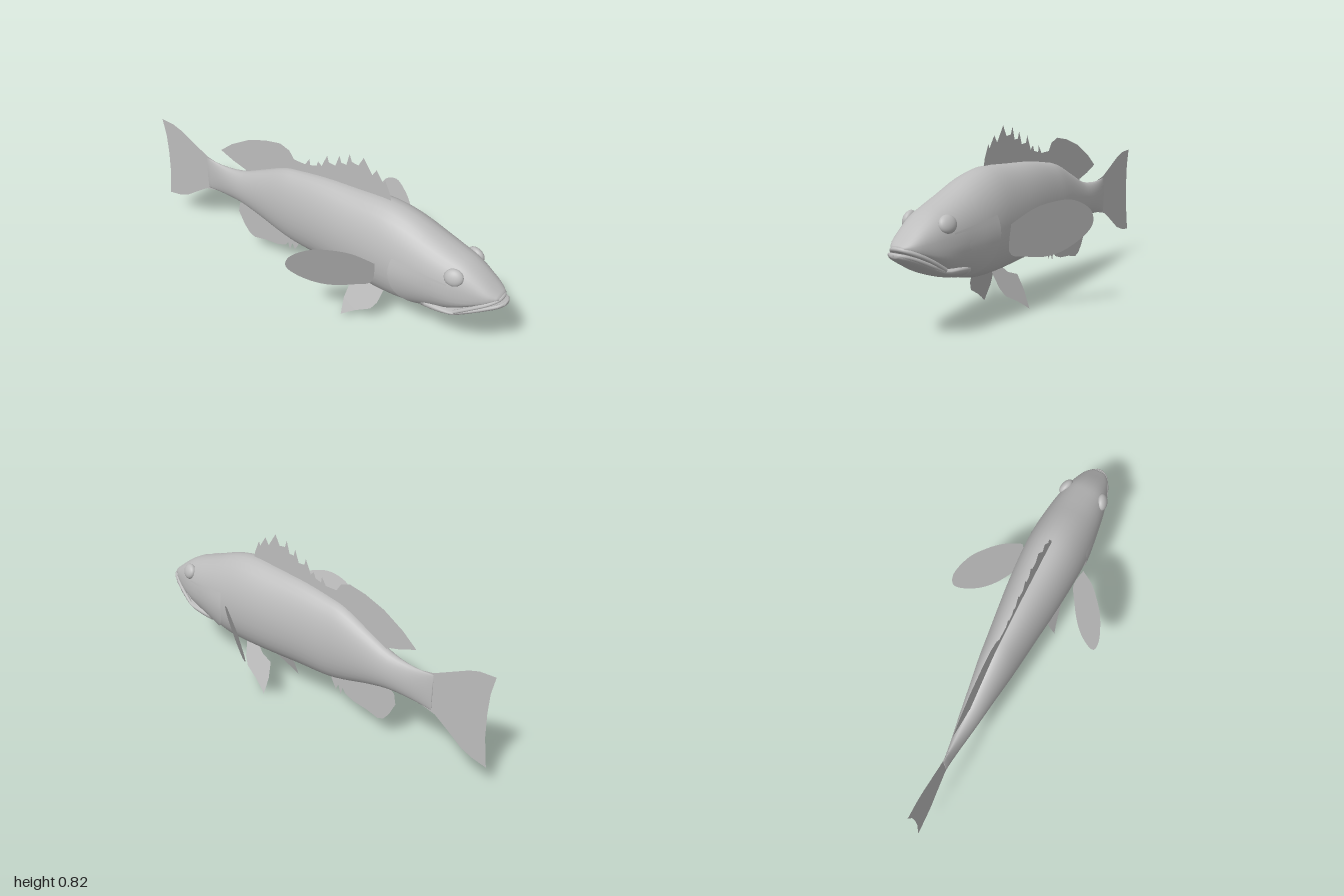
import * as THREE from 'three';

const skin = new THREE.MeshStandardMaterial({ color: 0xbdbdbd, side: THREE.DoubleSide });
skin.name = 'grey skin';
const RING = 32;

// Sections: [x, bottom, top, half width, height of widest line 0..1, lower roundness, upper roundness]
const bodyRows = [
  [-0.70, 0.285, 0.468, 0.006, 0.5, 1, 1],
  [-0.60, 0.292, 0.460, 0.024, 0.5, 1, 1],
  [-0.47, 0.292, 0.477, 0.046, 0.5, 1, 1],
  [-0.34, 0.264, 0.535, 0.064, 0.5, 1, 1],
  [-0.20, 0.224, 0.600, 0.084, 0.5, 1, 1],
  [-0.10, 0.207, 0.621, 0.096, 0.5, 1, 1],
  [0.05, 0.202, 0.642, 0.114, 0.5, 1, 1],
  [0.22, 0.196, 0.653, 0.133, 0.5, 0.95, 1],
  [0.40, 0.190, 0.662, 0.146, 0.49, 0.95, 1],
  [0.53, 0.198, 0.637, 0.147, 0.48, 0.95, 1],
  [0.65, 0.228, 0.591, 0.137, 0.48, 0.95, 0.95],
  [0.74, 0.258, 0.557, 0.125, 0.46, 0.9, 0.9],
  [0.81, 0.305, 0.530, 0.110, 0.4, 0.7, 0.85],
  [0.87, 0.345, 0.495, 0.092, 0.35, 0.6, 0.85],
  [0.93, 0.382, 0.450, 0.068, 0.35, 0.6, 0.85],
  [0.968, 0.405, 0.421, 0.036, 0.4, 0.8, 0.9],
];
const jawRows = [
  [0.64, 0.232, 0.300, 0.105, 0.6, 1, 0.8],
  [0.72, 0.243, 0.300, 0.112, 0.7, 1, 0.7],
  [0.80, 0.270, 0.302, 0.104, 0.7, 0.95, 0.6],
  [0.87, 0.306, 0.336, 0.086, 0.7, 0.9, 0.6],
  [0.93, 0.337, 0.370, 0.068, 0.7, 0.9, 0.6],
  [0.975, 0.362, 0.393, 0.045, 0.6, 0.9, 0.7],
  [0.995, 0.378, 0.396, 0.018, 0.5, 1, 1],
];

// Smooth interpolation of section rows
function refine(rows, steps = 3) {
  const out = [];
  for (let i = 0; i < rows.length - 1; i++) {
    const a = rows[Math.max(i - 1, 0)], b = rows[i], c = rows[i + 1];
    const d = rows[Math.min(i + 2, rows.length - 1)];
    for (let s = 0; s < steps; s++) {
      const t = s / steps;
      out.push(b.map((v, k) => v + 0.5 * t * (c[k] - a[k]
        + t * (2 * a[k] - 5 * v + 4 * c[k] - d[k] + t * (3 * (v - c[k]) + d[k] - a[k])))));
    }
  }
  out.push(rows[rows.length - 1]);
  return out;
}

function sectionPoint([x, lo, hi, w, f, pb, pt], a) {
  const s = Math.sin(a), c = Math.cos(a), p = s < 0 ? pb : pt;
  const mid = lo + (hi - lo) * f, r = s < 0 ? mid - lo : hi - mid;
  return [x, mid + r * Math.sign(s) * Math.abs(s) ** p, w * Math.sign(c) * Math.abs(c) ** p];
}

function makeGeometry(pos, idx) {
  const g = new THREE.BufferGeometry();
  g.setAttribute('position', new THREE.Float32BufferAttribute(pos, 3));
  g.setIndex(idx);
  g.computeVertexNormals();
  return g;
}

// Closed skin through elliptical sections
function loft(rows) {
  const pos = [], idx = [], n = rows.length;
  rows.forEach((row) => {
    for (let j = 0; j < RING; j++) pos.push(...sectionPoint(row, (j / RING) * Math.PI * 2));
  });
  for (let j = 0; j < RING; j++) {
    const k = (j + 1) % RING;
    for (let i = 0; i < n - 1; i++) {
      const a = i * RING + j, b = i * RING + k;
      idx.push(a, a + RING, b, b, a + RING, b + RING);
    }
    idx.push(n * RING, j, k, n * RING + 1, (n - 1) * RING + k, (n - 1) * RING + j);
  }
  for (const r of [rows[0], rows[n - 1]]) pos.push(r[0], (r[1] + r[2]) / 2, 0);
  return makeGeometry(pos, idx);
}

// Raised cheek plate lying over the body skin
function gillCover(rows, side) {
  const pos = [], idx = [], M = 14, N = 10;
  const at = (x) => {
    let i = 0;
    while (i < rows.length - 2 && rows[i + 1][0] < x) i++;
    const t = (x - rows[i][0]) / (rows[i + 1][0] - rows[i][0]);
    return rows[i].map((v, k) => v + (rows[i + 1][k] - v) * t);
  };
  for (let i = 0; i <= M; i++) {
    const a = 0.3 - 1.6 * (i / M);
    const back = 0.49 + 0.11 * a * a;
    for (let j = 0; j <= N; j++) {
      const t = j / N, p = sectionPoint(at(back + (0.76 - back) * t), a);
      const lift = (0.009 * (1 - t) - 0.003) * Math.min(1, i / 3);
      pos.push(p[0], p[1] + lift * Math.sin(a), side * (p[2] + lift * Math.cos(a)));
      if (i < M && j < N) {
        const q = i * (N + 1) + j, r = q + N + 1;
        idx.push(...(side > 0 ? [q, r, q + 1, q + 1, r, r + 1] : [q, q + 1, r, q + 1, r + 1, r]));
      }
    }
  }
  return makeGeometry(pos, idx);
}

// Thin fin sheet from an x,y outline, placed in z by a rule
function fin(points, zRule = () => 0, smooth = false) {
  const v = points.map(([x, y]) => new THREE.Vector2(x, y));
  let outline = v;
  if (smooth) outline = new THREE.SplineCurve([...v, v[0]]).getPoints(48).slice(0, -1);
  const g = new THREE.ShapeGeometry(new THREE.Shape(outline));
  const p = g.attributes.position;
  for (let i = 0; i < p.count; i++) p.setZ(i, zRule(p.getX(i), p.getY(i)));
  g.computeVertexNormals();
  return g;
}

// Lip running around the mouth; half the path is mirrored
function lip(half, radius) {
  const pts = [...half, ...half.slice(0, -1).reverse().map(([x, y, z]) => [x, y, -z])];
  const curve = new THREE.CatmullRomCurve3(pts.map((p) => new THREE.Vector3(...p)));
  return new THREE.TubeGeometry(curve, 40, radius, 8);
}

export function createModel() {
  const group = new THREE.Group();
  const add = (name, geometry) => {
    const m = new THREE.Mesh(geometry, skin);
    m.name = name;
    group.add(m);
    return m;
  };

  const body = refine(bodyRows);
  add('body', loft(body));
  add('lowerJaw', loft(refine(jawRows)));
  add('upperLip', lip([[0.80, 0.303, 0.1], [0.87, 0.35, 0.087], [0.93, 0.386, 0.064], [0.963, 0.404, 0.032], [0.97, 0.408, 0]], 0.009));
  add('lowerLip', lip([[0.80, 0.296, 0.097], [0.87, 0.332, 0.083], [0.93, 0.364, 0.064], [0.976, 0.385, 0.036], [0.988, 0.389, 0]], 0.008));

  // Fins along the middle line
  add('tailFin', fin([[-0.64, 0.463], [-0.7, 0.476], [-0.79, 0.523], [-0.87, 0.565], [-0.92, 0.582], [-1, 0.588],
    [-0.982, 0.5], [-0.977, 0.4], [-0.98, 0.28], [-1, 0.134], [-0.93, 0.146], [-0.87, 0.168],
    [-0.78, 0.232], [-0.72, 0.272], [-0.64, 0.29]]));
  add('softDorsalFin', fin([[-0.44, 0.47], [-0.444, 0.495], [-0.52, 0.517], [-0.6, 0.55], [-0.524, 0.612], [-0.417, 0.674],
    [-0.31, 0.711], [-0.22, 0.727], [-0.166, 0.708], [-0.14, 0.67], [-0.07, 0.668], [-0.07, 0.6], [-0.2, 0.57]]));
  add('spinyDorsalFin', fin([[-0.08, 0.6], [-0.075, 0.668], [-0.05, 0.706], [-0.045, 0.675], [-0.01, 0.685], [0, 0.712],
    [0.02, 0.695], [0.05, 0.762], [0.06, 0.73], [0.096, 0.727], [0.118, 0.788], [0.128, 0.755], [0.155, 0.754],
    [0.172, 0.815], [0.185, 0.78], [0.22, 0.775], [0.246, 0.825], [0.294, 0.754], [0.315, 0.788], [0.353, 0.733],
    [0.36, 0.755], [0.39, 0.69], [0.4, 0.64], [0.2, 0.62]]));
  add('analFin', fin([[-0.45, 0.31], [-0.495, 0.272], [-0.505, 0.22], [-0.47, 0.15], [-0.44, 0.112], [-0.406, 0.097],
    [-0.337, 0.113], [-0.257, 0.121], [-0.205, 0.139], [-0.187, 0.165], [-0.176, 0.123], [-0.16, 0.17],
    [-0.144, 0.139], [-0.11, 0.2], [-0.11, 0.24], [-0.3, 0.3]]));

  // Paired parts
  for (const [side, label] of [[1, 'right'], [-1, 'left']]) {
    add(label + 'PectoralFin', fin([[0.43, 0.43], [0.358, 0.495], [0.28, 0.52], [0.21, 0.518], [0.13, 0.468], [0.1, 0.395],
      [0.13, 0.33], [0.19, 0.278], [0.257, 0.26], [0.33, 0.27], [0.4, 0.295]],
    (x, y) => side * (0.375 - 0.68 * (x - 0.1) + 0.36 * (y - 0.395)), true));
    add(label + 'PelvicFin', fin([[0.34, 0.215], [0.3, 0.178], [0.235, 0.155], [0.222, 0.08], [0.228, 0], [0.262, 0.025],
      [0.3, 0.05], [0.374, 0.09], [0.4, 0.13], [0.412, 0.18], [0.42, 0.215]],
    (x, y) => side * (0.127 - 0.39 * y + 0.03 * (x - 0.3))));
    add(label + 'GillCover', gillCover(body, side));
    const eye = add(label + 'Eye', new THREE.SphereGeometry(0.043, 24, 16));
    eye.scale.set(1, 0.9, 0.55);
    eye.position.set(0.782, 0.485, side * 0.098);
    eye.rotation.set(side * -0.35, side * 0.25, 0);
  }
  return group;
}
